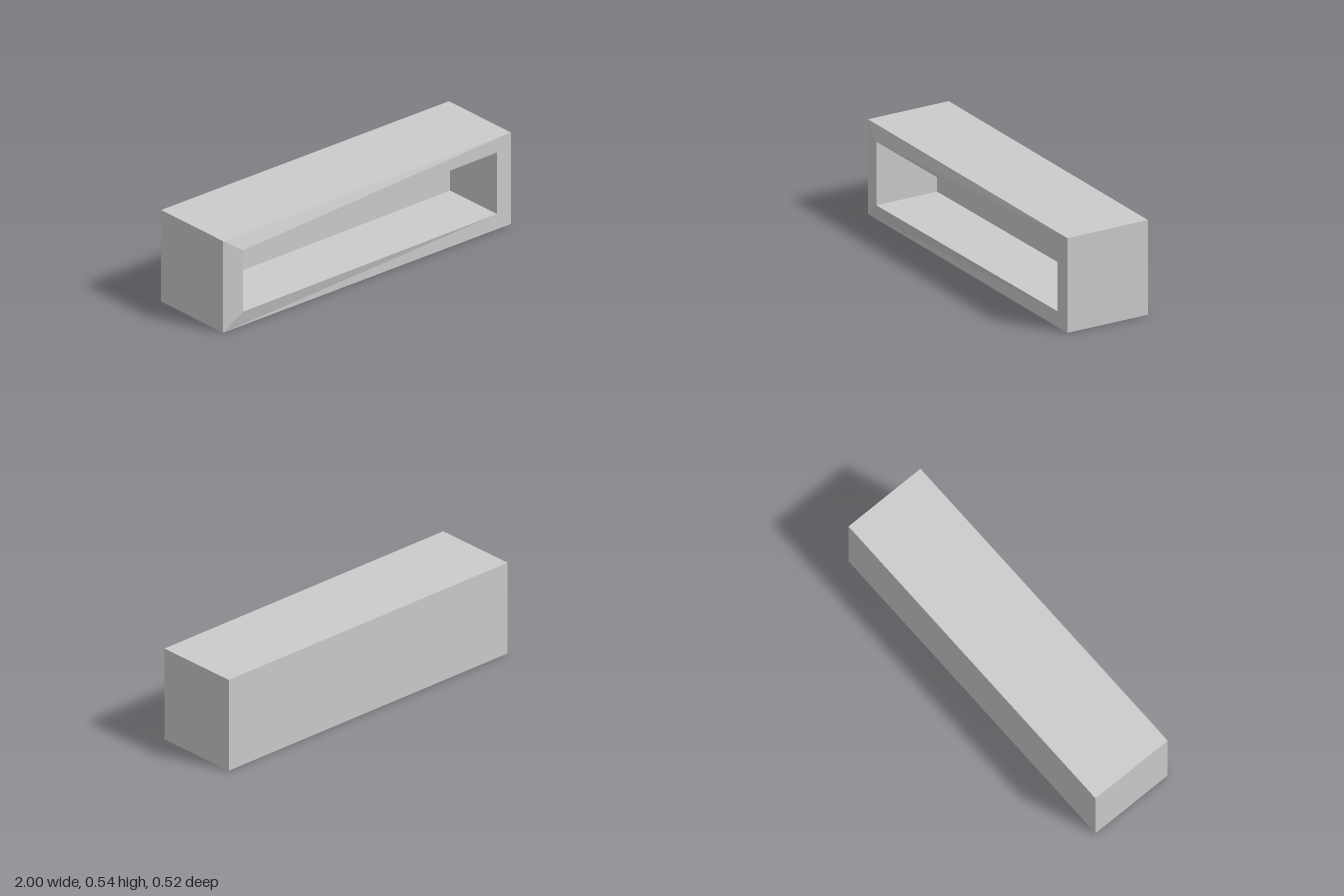
import * as THREE from 'three';

// Skin between successive four-cornered loops, flat shaded, with optional end caps.
function loft(name, loops, { capStart = false, capEnd = false } = {}) {
  const pos = [];
  const quad = (a, b, c, d) => pos.push(...a, ...b, ...c, ...a, ...c, ...d);
  for (let i = 0; i < loops.length - 1; i++) {
    const p = loops[i], q = loops[i + 1];
    for (let k = 0; k < 4; k++) {
      const n = (k + 1) % 4;
      quad(p[k], p[n], q[n], q[k]);
    }
  }
  if (capStart) quad(...[...loops[0]].reverse());
  if (capEnd) quad(...loops[loops.length - 1]);
  const geometry = new THREE.BufferGeometry();
  geometry.setAttribute('position', new THREE.Float32BufferAttribute(pos, 3));
  geometry.computeVertexNormals();
  const material = new THREE.MeshStandardMaterial({ color: 0xcccccc, flatShading: true });
  const mesh = new THREE.Mesh(geometry, material);
  mesh.name = name;
  return mesh;
}

export function createModel() {
  const model = new THREE.Group();
  model.name = 'recessedBox';

  const height = 0.535, frontZ = 0.237, backZ = -0.26, recessDepth = 0.375;

  // Loops run counter-clockwise seen from the front
  const outer = (z) => [[-1, 0, z], [1, 0, z], [1, height, z], [-1, height, z]];
  // The rim of the opening is slightly skewed: its -x end stands proud of the front
  const rim = (dz) => [
    [-0.88, 0.094, 0.26 - dz], [0.903, 0.089, frontZ - dz],
    [0.903, 0.448, frontZ - dz], [-0.88, 0.453, 0.26 - dz],
  ];

  // Outer walls and back
  model.add(loft('shell', [outer(backZ), outer(frontZ)], { capStart: true }));
  // Bevelled border around the opening
  model.add(loft('frontFrame', [outer(frontZ), rim(0)]));
  // Recess walls and its rear panel
  model.add(loft('recess', [rim(0), rim(recessDepth)], { capEnd: true }));

  return model;
}
